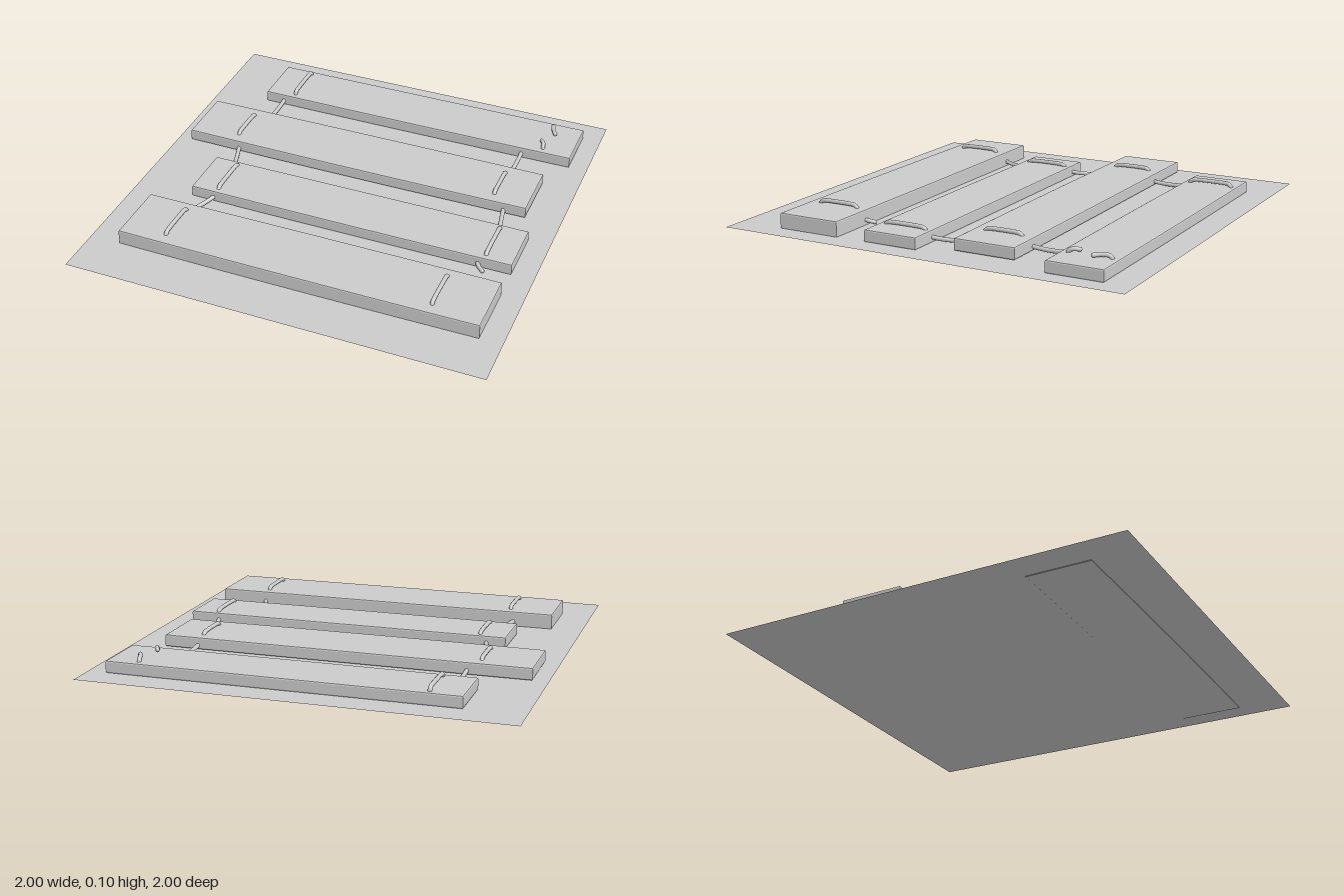
import * as THREE from 'three';

const material = new THREE.MeshStandardMaterial({ color: 0xcccccc });
const ROPE = 0.01;

// Plank: bowed plan outline, extruded upwards with a small bevel
function plank(x0, x1, z0, z1, y0, y1, bow) {
  const b = 0.007;
  const [l, r, back, front] = [x0 + b, x1 - b, z0 + b, z1 - b];
  const mid = (l + r) / 2;
  const shape = new THREE.Shape();
  shape.moveTo(l, -front);
  shape.quadraticCurveTo(mid, -front - bow * 2, r, -front);
  shape.lineTo(r, -back);
  shape.quadraticCurveTo(mid, -back + bow * 0.6, l, -back);
  shape.closePath();
  const geo = new THREE.ExtrudeGeometry(shape, {
    depth: y1 - y0 - 2 * b, bevelSize: b, bevelThickness: b, bevelSegments: 2, curveSegments: 10,
  });
  geo.rotateX(-Math.PI / 2);
  geo.translate(0, y0 + b, 0);
  const mesh = new THREE.Mesh(geo, material);
  mesh.name = 'plank';
  return mesh;
}

// Rope: tube along a smooth path with rounded ends
function rope(name, points) {
  const group = new THREE.Group();
  group.name = name;
  const path = points.map((p) => new THREE.Vector3(...p));
  const curve = new THREE.CatmullRomCurve3(path, false, 'centripetal');
  group.add(new THREE.Mesh(new THREE.TubeGeometry(curve, 24, ROPE, 10), material));
  for (const end of [path[0], path[path.length - 1]]) {
    const cap = new THREE.Mesh(new THREE.SphereGeometry(ROPE, 10, 8), material);
    cap.position.copy(end);
    group.add(cap);
  }
  return group;
}

// Loop of rope lying over a plank, both ends sinking into the wood
function ropeLoop(x, z0, z1, woodTop, loopTop) {
  const y = loopTop - ROPE;
  const a = z0 + ROPE, b = z1 - ROPE;
  return rope('ropeLoop', [
    [x, woodTop - 0.02, a], [x, y - 0.013, a + 0.002], [x, y - 0.002, a + 0.016], [x, y, a + 0.035],
    [x, y, b - 0.035], [x, y - 0.002, b - 0.016], [x, y - 0.013, b - 0.002], [x, woodTop - 0.02, b],
  ]);
}

// Slightly slack rope bridging the gap between two planks
function ropeLink(xa, za, xb, zb) {
  const dx = (xb - xa) * 0.12, dz = (zb - za) * 0.12;
  return rope('ropeLink', [
    [xa - dx, 0.034, za - dz], [xa + dx, 0.026, za + dz],
    [(xa + xb) / 2, 0.022, (za + zb) / 2],
    [xb - dx, 0.026, zb - dz], [xb + dx, 0.034, zb + dz],
  ]);
}

export function createModel() {
  const model = new THREE.Group();
  model.name = 'plankBridge';

  // Ground sheet
  const sheetMaterial = material.clone();
  sheetMaterial.side = THREE.DoubleSide;
  const sheet = new THREE.Mesh(new THREE.PlaneGeometry(2, 2).rotateX(-Math.PI / 2), sheetMaterial);
  sheet.position.y = 0.005;
  sheet.name = 'groundSheet';
  model.add(sheet);

  // Planks, back to front: x0, x1, z0, z1, bottom, top, bow
  const planks = [
    [-0.73, 0.91, -0.865, -0.595, 0.004, 0.062, 0.003],
    [-0.93, 0.83, -0.41, -0.112, 0.009, 0.067, 0.006],
    [-0.708, 0.893, 0.045, 0.312, 0.004, 0.062, 0.004],
    [-0.85, 0.893, 0.46, 0.77, 0, 0.078, 0.005],
  ];
  planks.forEach((p) => model.add(plank(...p)));

  // Rope loops: x, z0, z1, wood top, loop top
  const loops = [
    [-0.58, -0.85, -0.615, 0.062, 0.089],
    [-0.688, -0.365, -0.157, 0.067, 0.088],
    [0.657, -0.365, -0.157, 0.067, 0.088],
    [-0.58, 0.06, 0.295, 0.062, 0.082],
    [0.763, 0.06, 0.295, 0.062, 0.082],
    [-0.633, 0.5, 0.725, 0.078, 0.102],
    [0.658, 0.5, 0.725, 0.078, 0.102],
  ];
  loops.forEach((l) => model.add(ropeLoop(...l)));

  // Ropes between neighbouring planks: xa, za, xb, zb
  const links = [
    [-0.633, -0.6, -0.633, -0.4],
    [0.664, -0.6, 0.664, -0.4],
    [-0.665, -0.12, -0.613, 0.055],
    [0.72, -0.12, 0.752, 0.055],
    [-0.592, 0.305, -0.66, 0.47],
  ];
  links.forEach((l) => model.add(ropeLink(...l)));

  // Snapped rope ends
  const snapped = [
    [[0.76, 0.045, -0.838], [0.762, 0.072, -0.825], [0.772, 0.077, -0.79], [0.79, 0.074, -0.758]],
    [[0.763, 0.045, -0.626], [0.763, 0.07, -0.634], [0.757, 0.078, -0.655], [0.744, 0.075, -0.675]],
    [[0.725, 0.03, 0.295], [0.742, 0.024, 0.325], [0.768, 0.018, 0.348]],
    [[0.665, 0.032, 0.48], [0.658, 0.026, 0.447], [0.642, 0.018, 0.425]],
  ];
  snapped.forEach((points) => model.add(rope('snappedRope', points)));

  return model;
}
